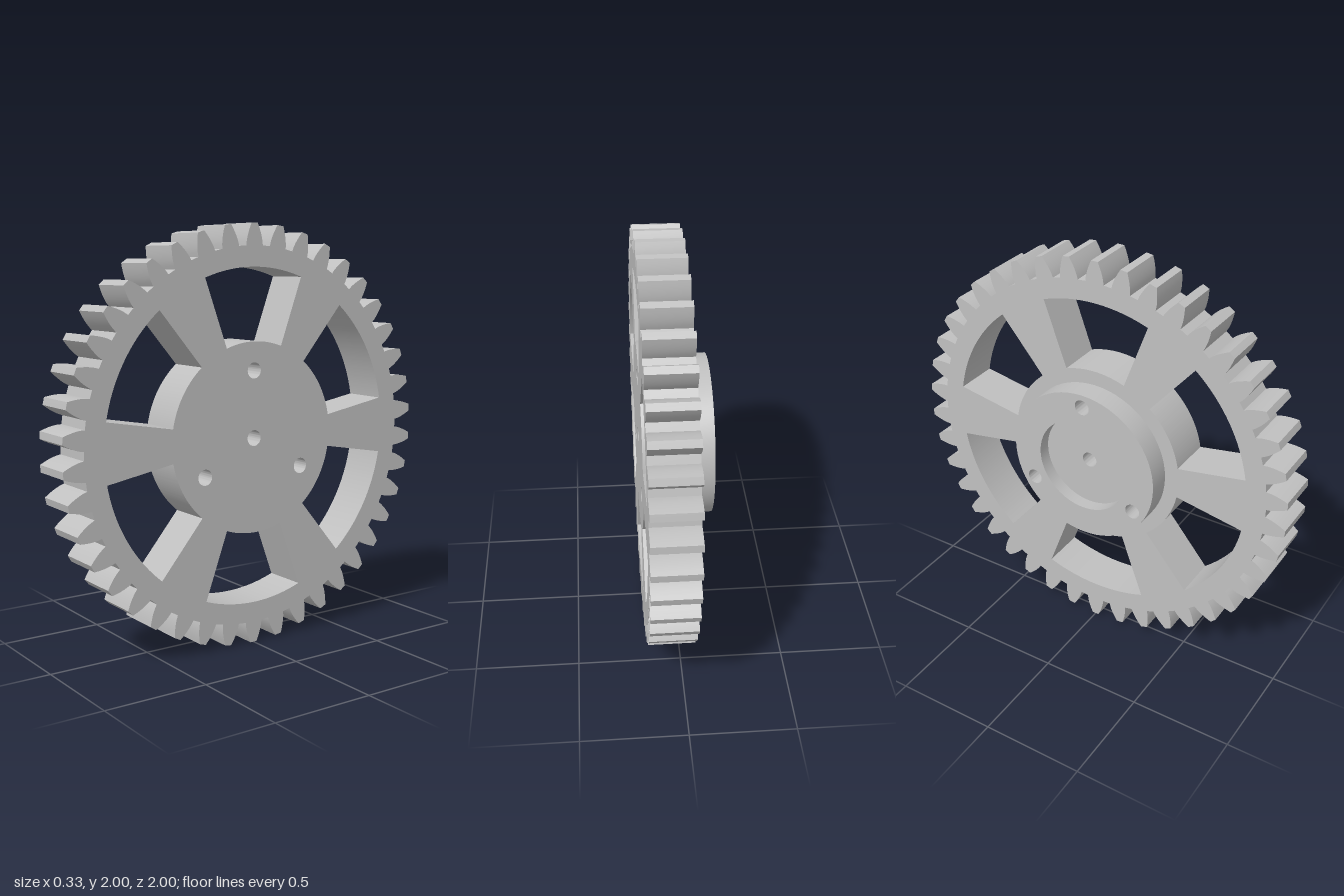
import * as THREE from 'three';
import { toCreasedNormals } from 'three/addons/utils/BufferGeometryUtils.js';

const TEETH = 42, TIP = 1, ROOT = 0.898, BASE = 0.897, PITCH = 0.9545;
const BACK = -0.167, FACE = -0.055, FRONT = 0.167, FLOOR = -0.103;

// Round hole or disc outline
function circle(PathType, x, y, r) {
  const p = new PathType();
  p.absarc(x, y, r, 0, Math.PI * 2, false);
  return p;
}

// Half the angle a tooth covers at radius r (involute flank)
function halfAngle(r) {
  const inv = (a) => Math.tan(a) - a;
  return Math.PI / (2 * TEETH) + inv(Math.acos(BASE / PITCH)) - inv(Math.acos(BASE / r));
}

function toothedOutline() {
  const pts = [];
  const steps = 5;
  const add = (r, a) => pts.push(new THREE.Vector2(r * Math.cos(a), r * Math.sin(a)));
  for (let i = 0; i < TEETH; i++) {
    const mid = Math.PI / 2 + (i * 2 * Math.PI) / TEETH;
    for (let k = 0; k <= steps; k++) {
      const r = ROOT + ((TIP - ROOT) * k) / steps;
      add(r, mid - halfAngle(r));
    }
    add(TIP, mid);
    for (let k = steps; k >= 0; k--) {
      const r = ROOT + ((TIP - ROOT) * k) / steps;
      add(r, mid + halfAngle(r));
    }
  }
  return new THREE.Shape(pts);
}

// Opening between two spokes
function spokeWindow(mid) {
  const half = Math.PI / 9;
  const p = new THREE.Path();
  p.absarc(0, 0, 0.8, mid - half, mid + half, false);
  p.absarc(0, 0, 0.456, mid + half, mid - half, true);
  p.closePath();
  return p;
}

// Three bolt holes on a common circle
function boltHoles() {
  return [0, 1, 2].map((i) => {
    const a = Math.PI / 2 + (i * 2 * Math.PI) / 3;
    return circle(THREE.Path, 0.32 * Math.cos(a), 0.32 * Math.sin(a), 0.038);
  });
}

// Extrude a profile along x between two planes
function slab(name, shape, x0, x1, material) {
  const geo = new THREE.ExtrudeGeometry(shape, { depth: x1 - x0, bevelEnabled: false, curveSegments: 32 });
  geo.rotateY(Math.PI / 2);
  geo.translate(x0, 1, 0);
  const mesh = new THREE.Mesh(toCreasedNormals(geo, 0.4), material);
  mesh.name = name;
  return mesh;
}

export function createModel() {
  const group = new THREE.Group();
  group.name = 'spurGear';
  const steel = new THREE.MeshStandardMaterial({ color: 0xc0c0c0 });
  steel.name = 'steel grey';

  // Toothed wheel with six spokes
  const wheel = toothedOutline();
  wheel.holes.push(circle(THREE.Path, 0, 0, 0.038), ...boltHoles());
  for (let i = 0; i < 6; i++) wheel.holes.push(spokeWindow(Math.PI / 2 + (i * Math.PI) / 3));
  group.add(slab('toothedWheel', wheel, FACE, FRONT, steel));

  // Raised hub collar around a shallow recess
  const collar = circle(THREE.Shape, 0, 0, 0.385);
  collar.holes.push(circle(THREE.Path, 0, 0, 0.24), ...boltHoles());
  group.add(slab('hubCollar', collar, BACK, FACE, steel));

  // Floor of the recess with the axle bore
  const floor = circle(THREE.Shape, 0, 0, 0.24);
  floor.holes.push(circle(THREE.Path, 0, 0, 0.038));
  group.add(slab('recessFloor', floor, FLOOR, FACE, steel));

  return group;
}
